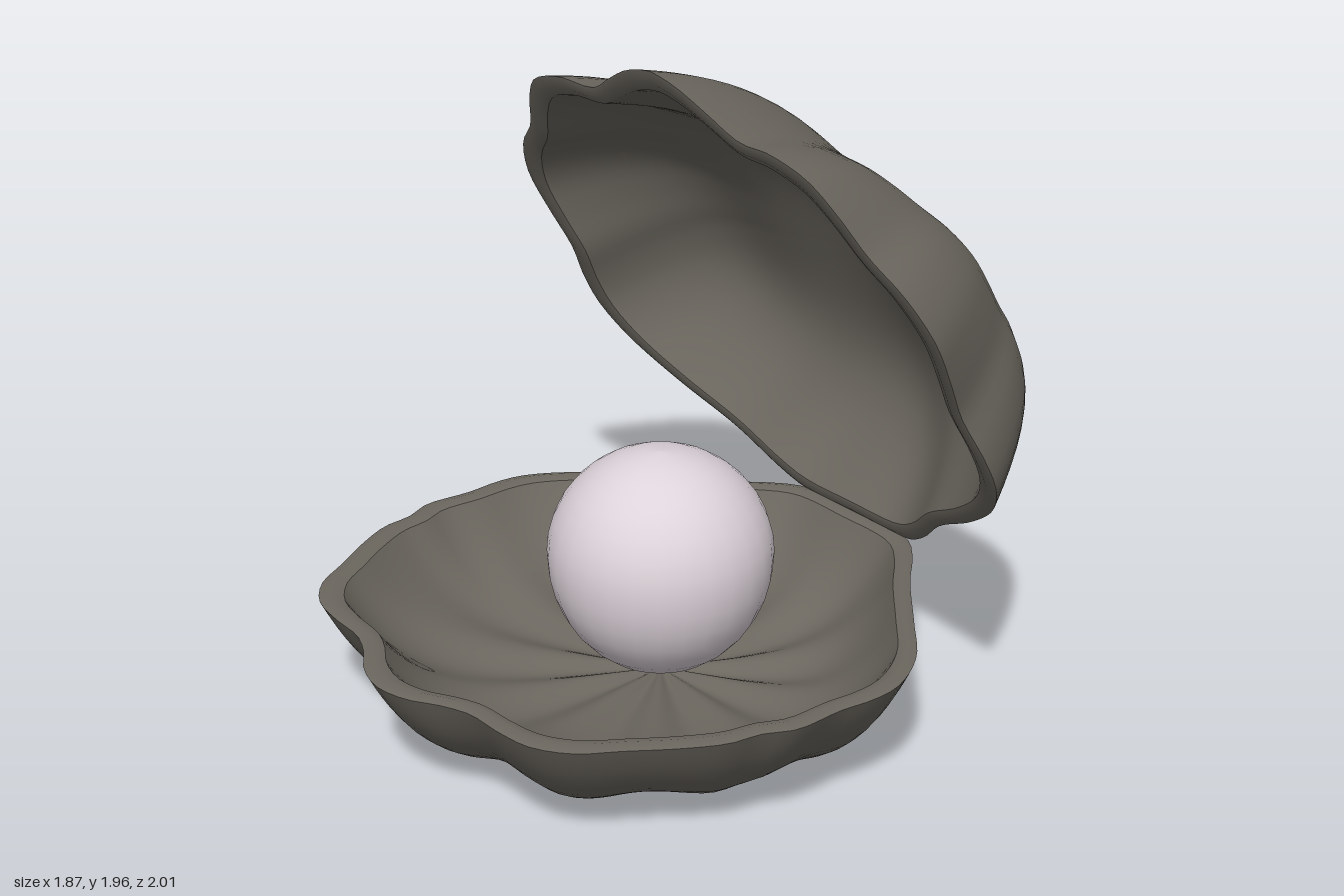
import * as THREE from 'three';

const HINGE_Z = -0.78;
const COLUMNS = 132;
const LIP = 0.93;

// Half of each scalloped rim (x, z), from the front tip round to the hinge
const UPPER_RIM = [
  [0, 1.0], [0.11, 0.98], [0.22, 0.925], [0.33, 0.865], [0.48, 0.87], [0.62, 0.83],
  [0.70, 0.74], [0.77, 0.62], [0.87, 0.52], [0.93, 0.38], [0.92, 0.22], [0.90, 0.08],
  [0.925, -0.06], [0.92, -0.18], [0.85, -0.31], [0.68, -0.46], [0.48, -0.59],
  [0.34, -0.72], [0.24, -0.775], [0, -0.78],
];
const LOWER_RIM = [
  [0, 1.0], [0.11, 0.975], [0.20, 0.92], [0.29, 0.885], [0.42, 0.88], [0.54, 0.86],
  [0.64, 0.79], [0.71, 0.68], [0.795, 0.55], [0.855, 0.43], [0.87, 0.33], [0.91, 0.24],
  [0.905, 0.08], [0.915, -0.04], [0.90, -0.14], [0.81, -0.29], [0.65, -0.43],
  [0.46, -0.59], [0.34, -0.71], [0.24, -0.775], [0, -0.78],
];

function rimPoints(half) {
  const mirrored = half.slice(1, -1).reverse().map(([x, z]) => [-x, z]);
  const points = [...half, ...mirrored].map(([x, z]) => new THREE.Vector3(x, 0, z));
  const curve = new THREE.CatmullRomCurve3(points, true, 'centripetal');
  return curve.getSpacedPoints(COLUMNS).slice(0, COLUMNS);
}

// The rim with its scallops averaged away
function smoothed(rim, reach) {
  return rim.map((_, i) => {
    const sum = new THREE.Vector3();
    for (let k = -reach; k <= reach; k++) sum.add(rim[(i + k + COLUMNS) % COLUMNS]);
    return sum.divideScalar(2 * reach + 1);
  });
}

// Skins a list of closed rings
function skin(rings) {
  const positions = [], index = [];
  rings.forEach((ring) => ring.forEach((p) => positions.push(p.x, p.y, p.z)));
  for (let i = 0; i < rings.length - 1; i++) {
    for (let j = 0; j < COLUMNS; j++) {
      const k = (j + 1) % COLUMNS;
      const a = i * COLUMNS + j, b = a + COLUMNS;
      const c = i * COLUMNS + k, d = c + COLUMNS;
      index.push(a, b, c, b, d, c);
    }
  }
  const geometry = new THREE.BufferGeometry();
  geometry.setAttribute('position', new THREE.Float32BufferAttribute(positions, 3));
  geometry.setIndex(index);
  geometry.computeVertexNormals();
  return geometry;
}

// Wall steepness around the shell, from [front, side, back] values
function steepness([front, side, back], turn) {
  return turn < 0.5
    ? THREE.MathUtils.lerp(front, side, turn * 2)
    : THREE.MathUtils.lerp(side, back, turn * 2 - 1);
}

// A cupped half shell, opening upward with its rim at y = 0
function makeShell(prefix, material, o) {
  const rim = rimPoints(o.rim);
  const soft = smoothed(rim, 5);

  // One ring at fraction s of the rim radius, dished to the given depth
  const ring = (s, size, depth, power, ripple, raise = 0) => rim.map((edge, i) => {
    const p = soft[i].clone().lerp(edge, s * s).multiplyScalar(s);
    const angle = Math.atan2(edge.x, edge.z);
    const back = (1 - Math.cos(angle)) / 2;
    const t = Math.min(s / size, 1);
    p.y = -depth * (1 - Math.pow(t, steepness(power, back))) - ripple * o.flute(p, angle, t)
      + o.lift(edge, back) * s * s + raise;
    return p;
  });

  const steps = 20;
  const outer = [], inner = [];
  for (let i = 0; i <= steps; i++) {
    const s = 1 - Math.pow(1 - i / steps, 1.8);
    outer.unshift(ring(s, 1, o.depth, o.power, o.ripple));
    inner.push(ring(s * LIP, LIP, o.innerDepth, o.innerPower, o.innerRipple));
  }
  const edge = [
    ring(LIP, LIP, 0, o.power, 0),
    ring(0.965, 0.965, 0, o.power, 0, 0.01),
    ring(1, 1, 0, o.power, 0),
  ];

  const group = new THREE.Group();
  group.name = prefix + 'Shell';
  for (const [name, rings] of [['Outside', outer], ['Rim', edge], ['Inside', inner]]) {
    const mesh = new THREE.Mesh(skin(rings), material);
    mesh.name = prefix + 'Shell' + name;
    group.add(mesh);
  }
  return group;
}

// Pearl, slightly drawn out towards the bottom
function makePearl(material) {
  const geometry = new THREE.SphereGeometry(0.34, 28, 18);
  const position = geometry.attributes.position;
  for (let i = 0; i < position.count; i++) {
    const y = position.getY(i);
    position.setY(i, y * (y > 0 ? 0.95 : 1.1));
  }
  geometry.computeVertexNormals();
  const pearl = new THREE.Mesh(geometry, material);
  pearl.name = 'pearl';
  pearl.position.y = 0.488;
  return pearl;
}

export function createModel() {
  const model = new THREE.Group();
  model.name = 'openClam';

  const shellMaterial = new THREE.MeshStandardMaterial({ color: 0x6b675f });
  shellMaterial.name = 'shell grey';
  const pearlMaterial = new THREE.MeshStandardMaterial({ color: 0xddd3da });
  pearlMaterial.name = 'pearl white';

  // Lower half, resting on the ground, with flutes radiating from its middle
  const lower = makeShell('lower', shellMaterial, {
    rim: LOWER_RIM,
    depth: 0.345, power: [6, 5.7, 6], ripple: 0.018,
    innerDepth: 0.27, innerPower: [5, 5, 5], innerRipple: 0.015,
    flute: (p, angle, t) => Math.cos(11 * angle) * 4 * t * (1 - t),
    lift: (edge, back) => 0.01 * Math.abs(edge.x) + 0.03 * Math.pow(back, 6),
  });
  lower.position.y = 0.363;
  model.add(lower);

  // Upper half, turned over and swung open, with flutes running front to back
  const upper = makeShell('upper', shellMaterial, {
    rim: UPPER_RIM,
    depth: 0.425, power: [2.8, 6.2, 5], ripple: 0.026,
    innerDepth: 0.37, innerPower: [2.9, 5.5, 4.8], innerRipple: 0.018,
    flute: (p, angle, t) => Math.cos((2 * Math.PI * p.x) / 0.7) * (1 - Math.pow(t, 4)),
    lift: (edge, back) => 0.06 * Math.abs(edge.x) * (1 - Math.pow(back, 4)) + 0.01 * (1 - back),
  });
  upper.rotation.z = Math.PI;
  upper.position.z = -HINGE_Z;
  const hinge = new THREE.Group();
  hinge.name = 'hinge';
  hinge.position.set(0, 0.385, HINGE_Z);
  hinge.rotation.x = -THREE.MathUtils.degToRad(63);
  hinge.add(upper);
  model.add(hinge);

  model.add(makePearl(pearlMaterial));
  return model;
}
